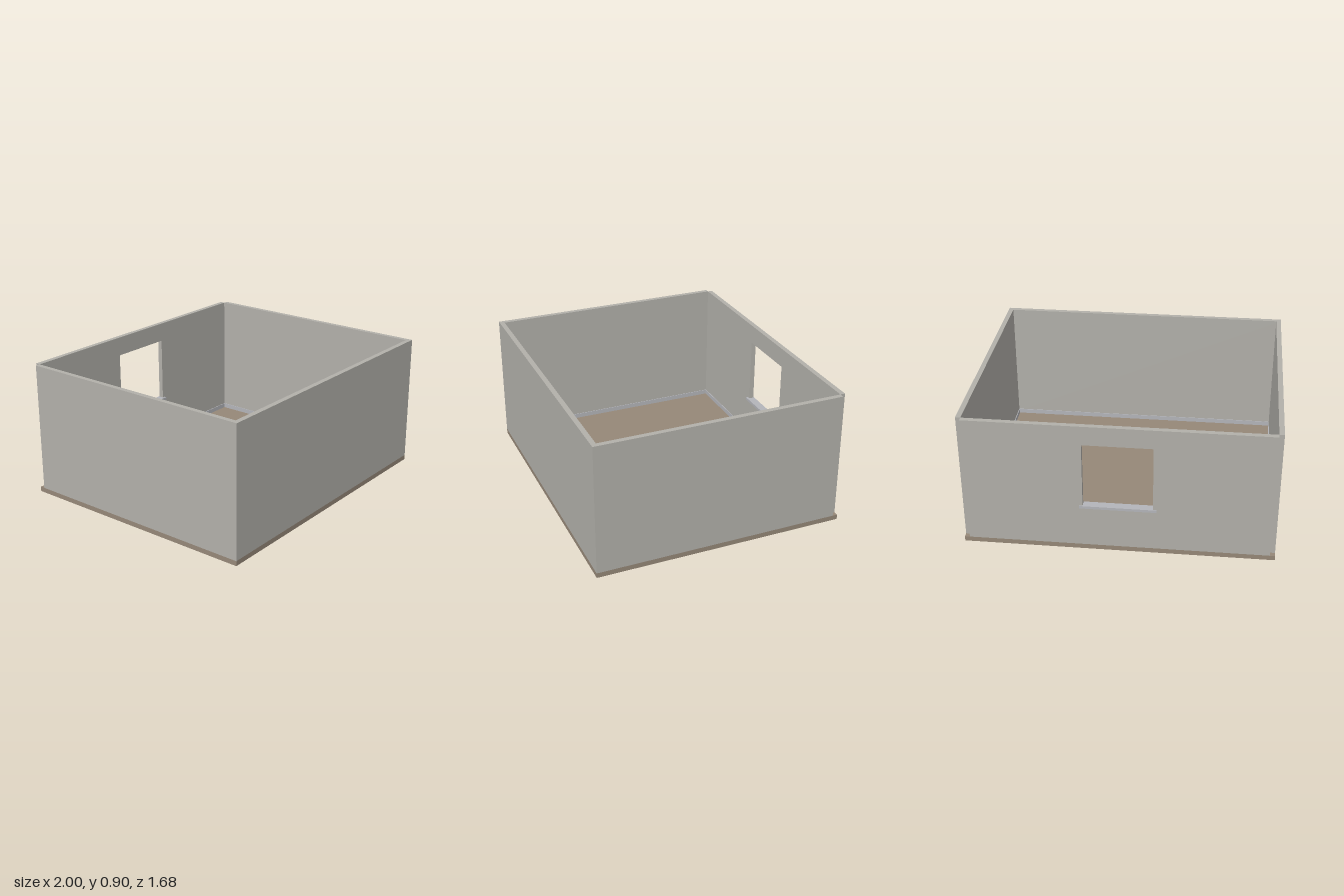
import * as THREE from 'three';

export function createModel() {
  const group = new THREE.Group();
  const wallMat = new THREE.MeshStandardMaterial({ color: 0xb2b0aa });
  const floorMat = new THREE.MeshStandardMaterial({ color: 0x968878 });
  const trimMat = new THREE.MeshStandardMaterial({ color: 0xb4b5ba });

  // Box given by its lower and upper corners
  function box(name, mat, [x0, y0, z0], [x1, y1, z1]) {
    const mesh = new THREE.Mesh(new THREE.BoxGeometry(x1 - x0, y1 - y0, z1 - z0), mat);
    mesh.position.set((x0 + x1) / 2, (y0 + y1) / 2, (z0 + z1) / 2);
    mesh.name = name;
    group.add(mesh);
  }

  const floorY = 0.033, top = 0.905, t = 0.033;
  const back = -0.835, front = 0.84;
  const inX = 1 - t, inBack = back + t, inFront = front - t;

  box('floor', floorMat, [-1, 0, back], [1, floorY, front]);

  // Solid front and side walls; the side walls stop short of the back wall
  box('frontWall', wallMat, [-1, floorY, inFront], [1, top, front]);
  box('rightWall', wallMat, [-1, floorY, inBack], [-inX, top, inFront]);
  box('leftWall', wallMat, [inX, floorY, inBack], [1, top, inFront]);

  // Back wall with a window opening
  const w = 0.222, sillY = 0.325, headY = 0.775;
  const wall = new THREE.Shape();
  wall.moveTo(-inX, floorY).lineTo(inX, floorY).lineTo(inX, top).lineTo(-inX, top).closePath();
  const opening = new THREE.Path();
  opening.moveTo(-w, sillY).lineTo(-w, headY).lineTo(w, headY).lineTo(w, sillY).closePath();
  wall.holes.push(opening);
  const backWall = new THREE.Mesh(
    new THREE.ExtrudeGeometry(wall, { depth: t, bevelEnabled: false }), wallMat);
  backWall.position.z = back;
  backWall.name = 'backWall';
  group.add(backWall);

  // Window sill, projecting on both faces
  box('windowSill', trimMat, [-0.244, sillY - 0.013, back - 0.006], [0.244, sillY + 0.005, inBack + 0.015]);

  // Low skirting around the room
  const s = 0.005, h = floorY + 0.032;
  box('skirtingBack', trimMat, [-inX, floorY, inBack], [inX, h, inBack + s]);
  box('skirtingFront', trimMat, [-inX, floorY, inFront - s], [inX, h, inFront]);
  box('skirtingRight', trimMat, [-inX, floorY, inBack + s], [-inX + s, h, inFront - s]);
  box('skirtingLeft', trimMat, [inX - s, floorY, inBack + s], [inX, h, inFront - s]);

  return group;
}
